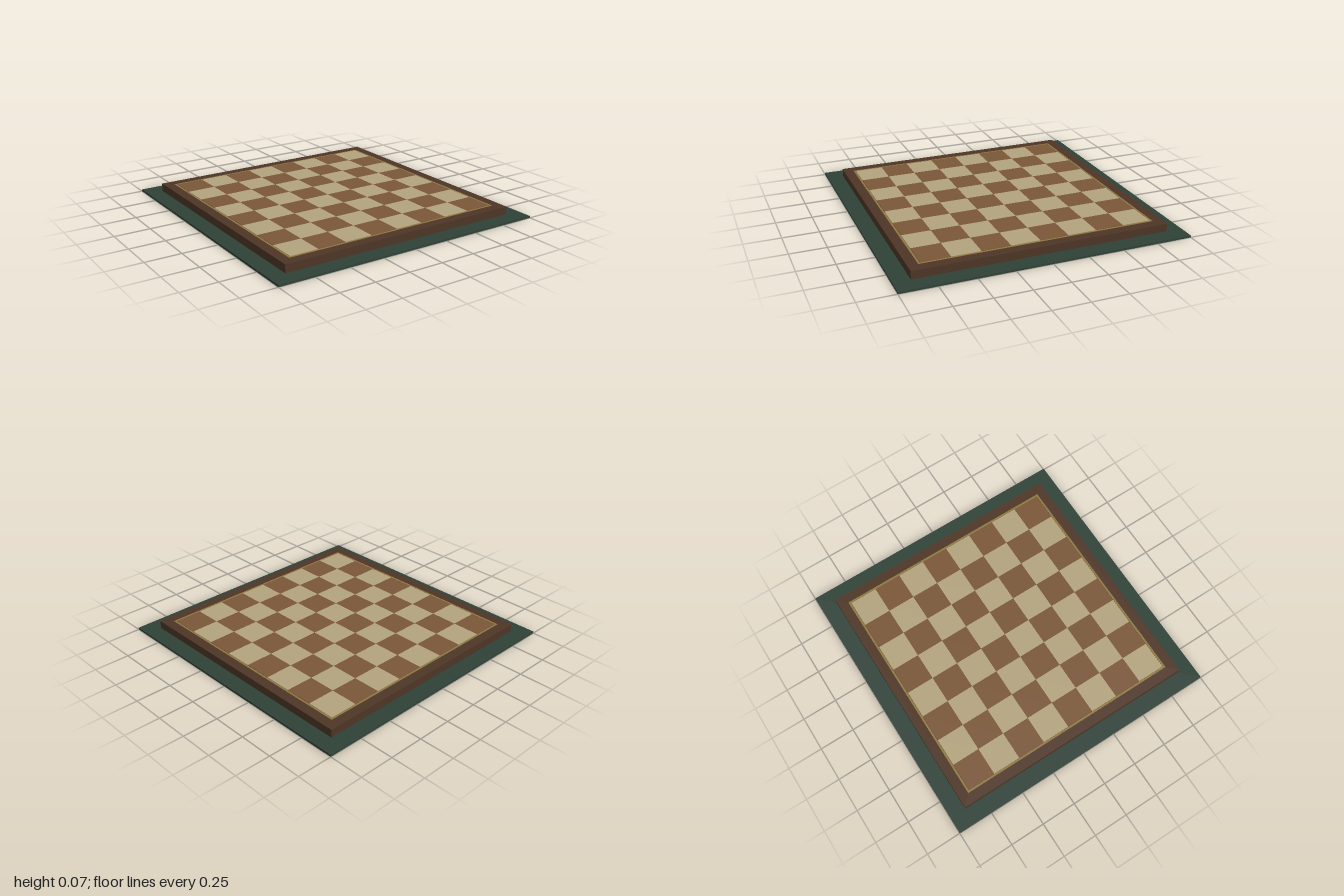
import * as THREE from 'three';

const paint = (color) => new THREE.MeshStandardMaterial({ color });

// Square slab of half-width r between heights y0 and y1
function slab(name, r, y0, y1, material) {
  const mesh = new THREE.Mesh(new THREE.BoxGeometry(2 * r, y1 - y0, 2 * r), material);
  mesh.position.y = (y0 + y1) / 2;
  mesh.name = name;
  return mesh;
}

// Square ring between half-widths inner and outer, lying flat
function ring(name, outer, inner, y0, y1, material) {
  const corners = (r) => [[-r, -r], [r, -r], [r, r], [-r, r]].map(([x, y]) => new THREE.Vector2(x, y));
  const shape = new THREE.Shape(corners(outer));
  shape.holes.push(new THREE.Path(corners(inner).reverse()));
  const geometry = new THREE.ExtrudeGeometry(shape, { depth: y1 - y0, bevelEnabled: false });
  geometry.rotateX(-Math.PI / 2);
  const mesh = new THREE.Mesh(geometry, material);
  mesh.position.y = y0;
  mesh.name = name;
  return mesh;
}

export function createModel() {
  const model = new THREE.Group();
  model.name = 'chessboard';

  const wood = paint(0x4e3626);
  const darkWood = paint(0x7a5738);
  const lightWood = paint(0xb3a37e);

  // Felt mat, board core, raised border and inlaid trim
  model.add(slab('mat', 1, 0, 0.014, paint(0x2f4238)));
  model.add(slab('boardCore', 0.81, 0.014, 0.065, wood));
  model.add(ring('border', 0.885, 0.816, 0.014, 0.071, wood));
  model.add(ring('trim', 0.816, 0.802, 0.014, 0.072, paint(0x8f7840)));

  // Playing squares, dark in the back right corner
  const squares = new THREE.Group();
  squares.name = 'squares';
  const size = 0.2;
  const tile = new THREE.BoxGeometry(size, 0.01, size);
  for (let row = 0; row < 8; row++) {
    for (let col = 0; col < 8; col++) {
      const dark = (row + col) % 2 === 0;
      const square = new THREE.Mesh(tile, dark ? darkWood : lightWood);
      square.name = dark ? 'darkSquare' : 'lightSquare';
      square.position.set((col - 3.5) * size, 0.068, (row - 3.5) * size);
      squares.add(square);
    }
  }
  model.add(squares);

  return model;
}
